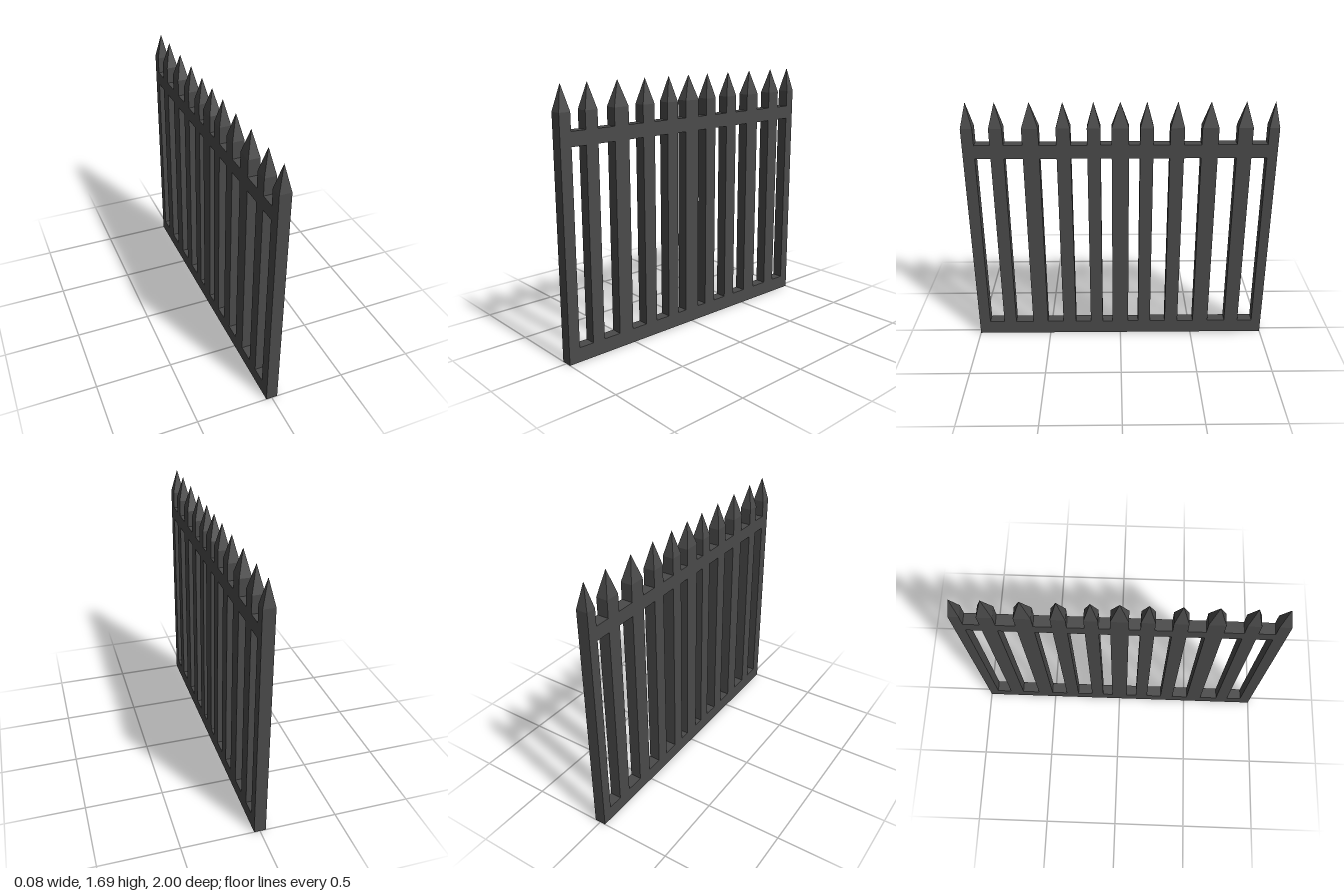
import * as THREE from 'three';

const THICK = 0.075, SHOULDER = 1.53, TIP = 1.69;
const RAIL_LOW = 0.095, RAIL_BOTTOM = 1.33, RAIL_TOP = 1.42;

// Start and end of each picket along z; the spacing is slightly uneven
const PICKETS = [
  [-1, -0.935], [-0.835, -0.74], [-0.62, -0.515], [-0.405, -0.315],
  [-0.21, -0.125], [-0.055, 0.055], [0.125, 0.21], [0.315, 0.405],
  [0.515, 0.62], [0.74, 0.825], [0.925, 1],
];

export function createModel() {
  const fence = new THREE.Group();
  fence.name = 'picketFence';
  const material = new THREE.MeshStandardMaterial({ color: 0x4a4a4a, flatShading: true });

  // Pickets and rails as one panel: stepped top outline, one opening per gap
  const outline = new THREE.Shape();
  outline.moveTo(-1, 0);
  outline.lineTo(1, 0);
  for (let i = PICKETS.length - 1; i >= 0; i--) {
    const [a, b] = PICKETS[i];
    outline.lineTo(b, SHOULDER);
    outline.lineTo(a, SHOULDER);
    if (i === 0) break;
    const previousEnd = PICKETS[i - 1][1];
    outline.lineTo(a, RAIL_TOP);
    outline.lineTo(previousEnd, RAIL_TOP);

    const gap = new THREE.Path();
    gap.moveTo(previousEnd, RAIL_LOW);
    gap.lineTo(previousEnd, RAIL_BOTTOM);
    gap.lineTo(a, RAIL_BOTTOM);
    gap.lineTo(a, RAIL_LOW);
    gap.closePath();
    outline.holes.push(gap);
  }
  outline.closePath();

  const panelGeometry = new THREE.ExtrudeGeometry(outline, { depth: THICK, bevelEnabled: false });
  panelGeometry.translate(0, 0, -THICK / 2);
  panelGeometry.rotateY(-Math.PI / 2);
  const panel = new THREE.Mesh(panelGeometry, material);
  panel.name = 'picketsAndRails';
  fence.add(panel);

  // Four-sided points on the pickets
  const points = new THREE.Group();
  points.name = 'picketPoints';
  for (const [a, b] of PICKETS) {
    const geometry = new THREE.ConeGeometry(Math.SQRT1_2, TIP - SHOULDER, 4, 1, true);
    geometry.rotateY(Math.PI / 4);
    geometry.scale(THICK, 1, b - a);
    const point = new THREE.Mesh(geometry, material);
    point.position.set(0, (SHOULDER + TIP) / 2, (a + b) / 2);
    point.name = 'picketPoint';
    points.add(point);
  }
  fence.add(points);

  return fence;
}
